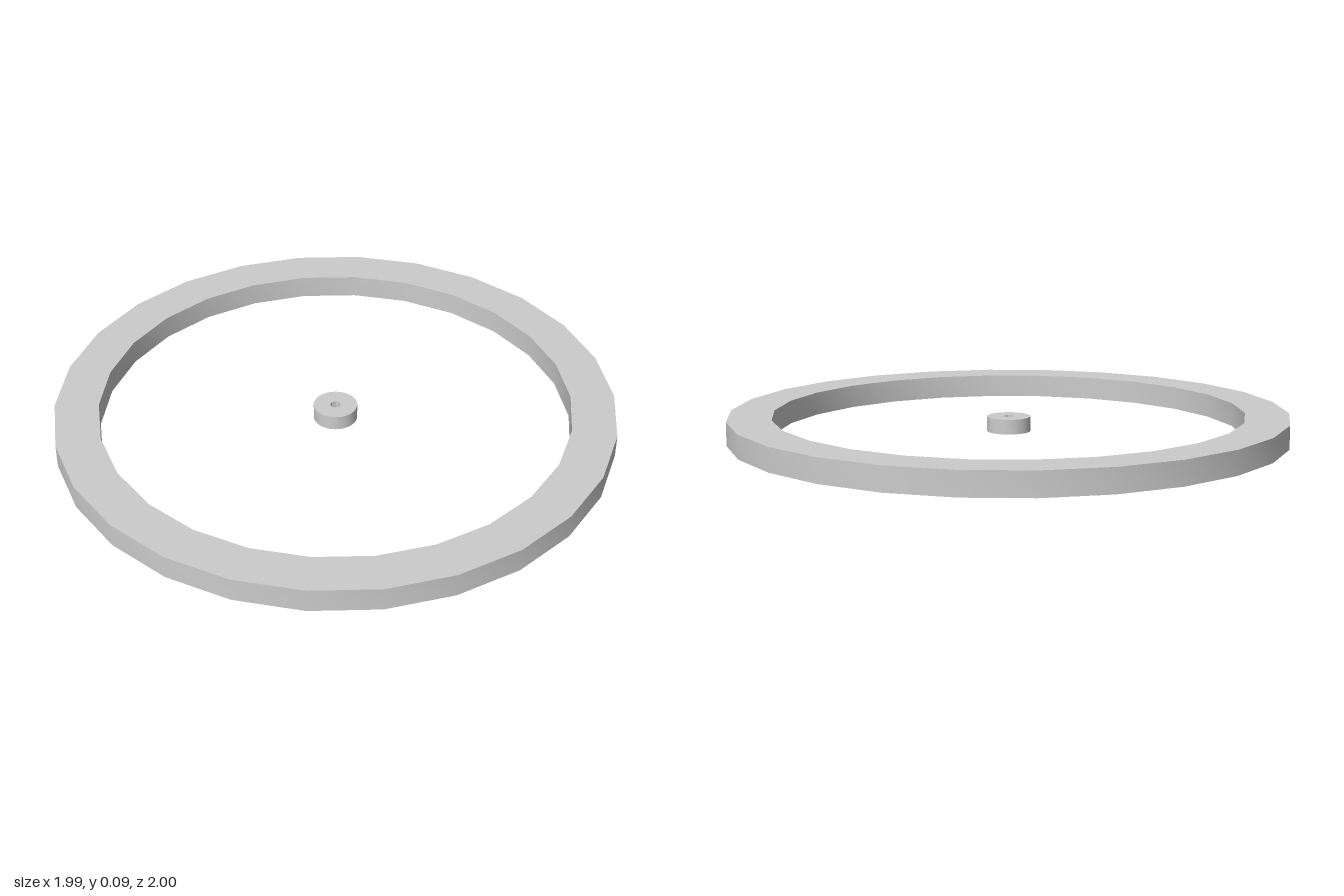
import * as THREE from 'three';
import { toCreasedNormals } from 'three/addons/utils/BufferGeometryUtils.js';

const material = new THREE.MeshStandardMaterial({ color: 0xcccccc });

// Flat ring of rectangular section, turned about the y axis
function ring(name, inner, outer, bottom, top, sides) {
  const profile = [
    [inner, bottom], [outer, bottom], [outer, top], [inner, top], [inner, bottom],
  ].map(([r, y]) => new THREE.Vector2(r, y));
  const geometry = toCreasedNormals(new THREE.LatheGeometry(profile, sides), 0.6);
  const mesh = new THREE.Mesh(geometry, material);
  mesh.name = name;
  return mesh;
}

export function createModel() {
  const model = new THREE.Group();
  model.name = 'wheel';
  // Wide 26-sided rim
  model.add(ring('rim', 0.843, 1, 0, 0.085, 26));
  // Small bored hub, thinner than the rim and centred in its height
  model.add(ring('hub', 0.018, 0.078, 0.016, 0.069, 32));
  return model;
}
